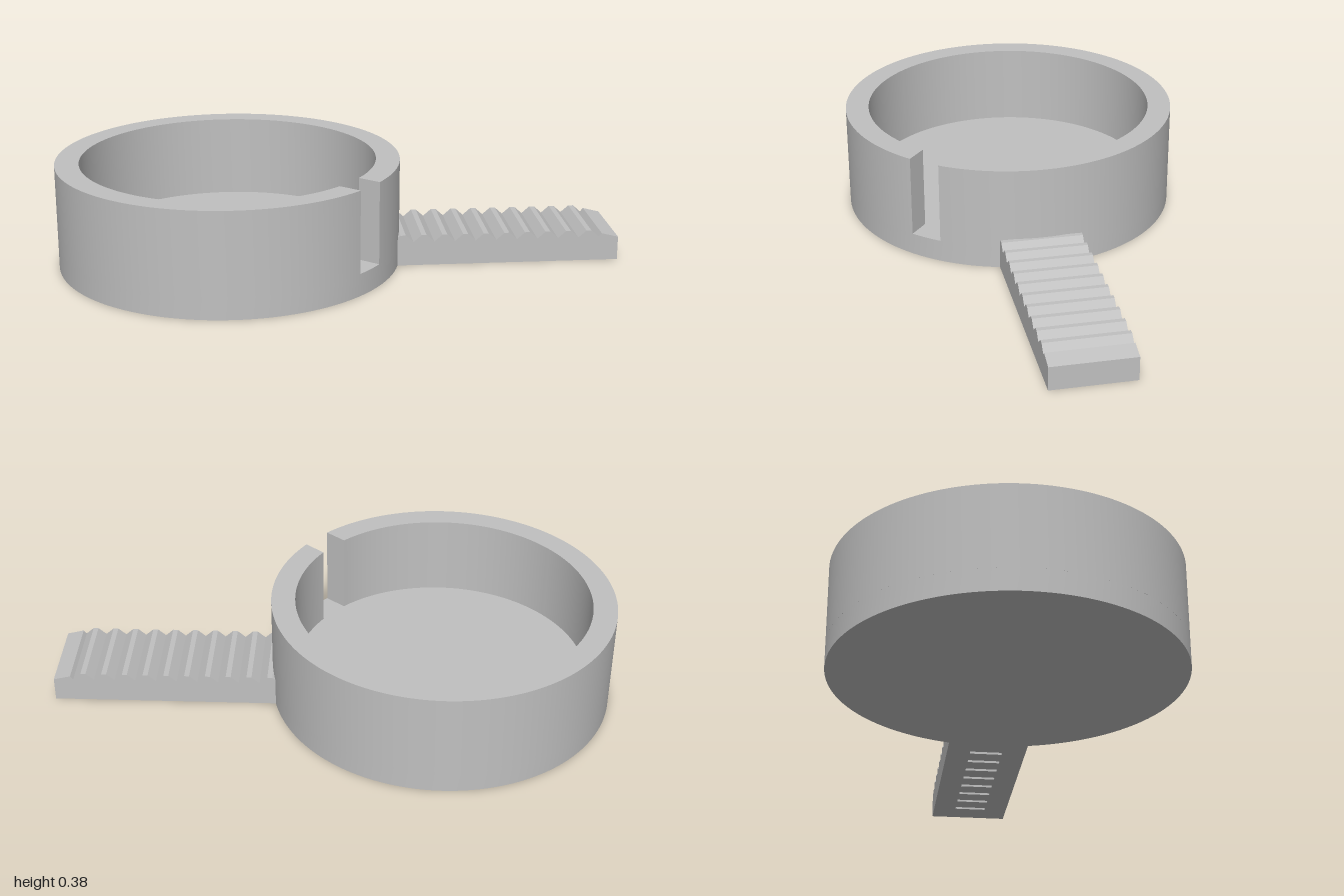
import * as THREE from 'three';
import { toCreasedNormals } from 'three/addons/utils/BufferGeometryUtils.js';

const CX = -0.39, R = 0.61, INNER = 0.525, HEIGHT = 0.375, FLOOR = 0.08;

export function createModel() {
  const model = new THREE.Group();
  model.name = 'slottedCupWithHandle';
  const grey = new THREE.MeshStandardMaterial({ color: 0xc0c0c0 });
  grey.name = 'grey';

  function add(name, geometry, parent = model) {
    const mesh = new THREE.Mesh(toCreasedNormals(geometry, 0.4), grey);
    mesh.name = name;
    parent.add(mesh);
    return mesh;
  }

  // Solid floor of the cup
  add('cupFloor', new THREE.CylinderGeometry(R, R, FLOOR, 128)).position.set(CX, FLOOR / 2, 0);

  // Wall: a C-shaped ring with a parallel-sided slot cut down to the floor
  const half = 0.0575;
  const aOut = Math.asin(half / R), aIn = Math.asin(half / INNER);
  const ring = new THREE.Shape();
  ring.absarc(0, 0, R, aOut, Math.PI * 2 - aOut, false);
  ring.absarc(0, 0, INNER, Math.PI * 2 - aIn, aIn, true);
  ring.closePath();
  const wall = new THREE.ExtrudeGeometry(ring, { depth: HEIGHT - FLOOR, bevelEnabled: false, curveSegments: 128 });
  wall.rotateX(-Math.PI / 2).rotateY(-THREE.MathUtils.degToRad(39.7));
  add('cupWall', wall).position.set(CX, FLOOR, 0);

  // Handle: toothed side profile; the middle strip also has slits underneath
  const handle = new THREE.Group();
  handle.name = 'handle';
  model.add(handle);
  function handleStrip(name, z0, z1, slits) {
    const s = new THREE.Shape();
    s.moveTo(0.17, 0);
    if (slits) {
      for (let i = 0; i < 8; i++) {
        const x = 0.29 + i * 0.0857;
        s.lineTo(x - 0.01, 0);
        s.lineTo(x - 0.01, 0.04);
        s.lineTo(x + 0.01, 0.04);
        s.lineTo(x + 0.01, 0);
      }
    }
    s.lineTo(1, 0);
    s.lineTo(1, 0.085);
    s.lineTo(0.94, 0.1);
    for (let i = 9; i >= 0; i--) {
      const x = 0.222 + i * 0.0745;
      s.lineTo(x + 0.037, 0.087);
      s.lineTo(x + 0.009, 0.112);
      s.lineTo(x - 0.009, 0.112);
    }
    s.lineTo(0.17, 0.087);
    s.closePath();
    const g = new THREE.ExtrudeGeometry(s, { depth: z1 - z0, bevelEnabled: false });
    add(name, g, handle).position.z = z0;
  }
  handleStrip('handleBackStrip', -0.146, -0.06, false);
  handleStrip('handleMiddleStrip', -0.06, 0.06, true);
  handleStrip('handleFrontStrip', 0.06, 0.146, false);

  return model;
}
